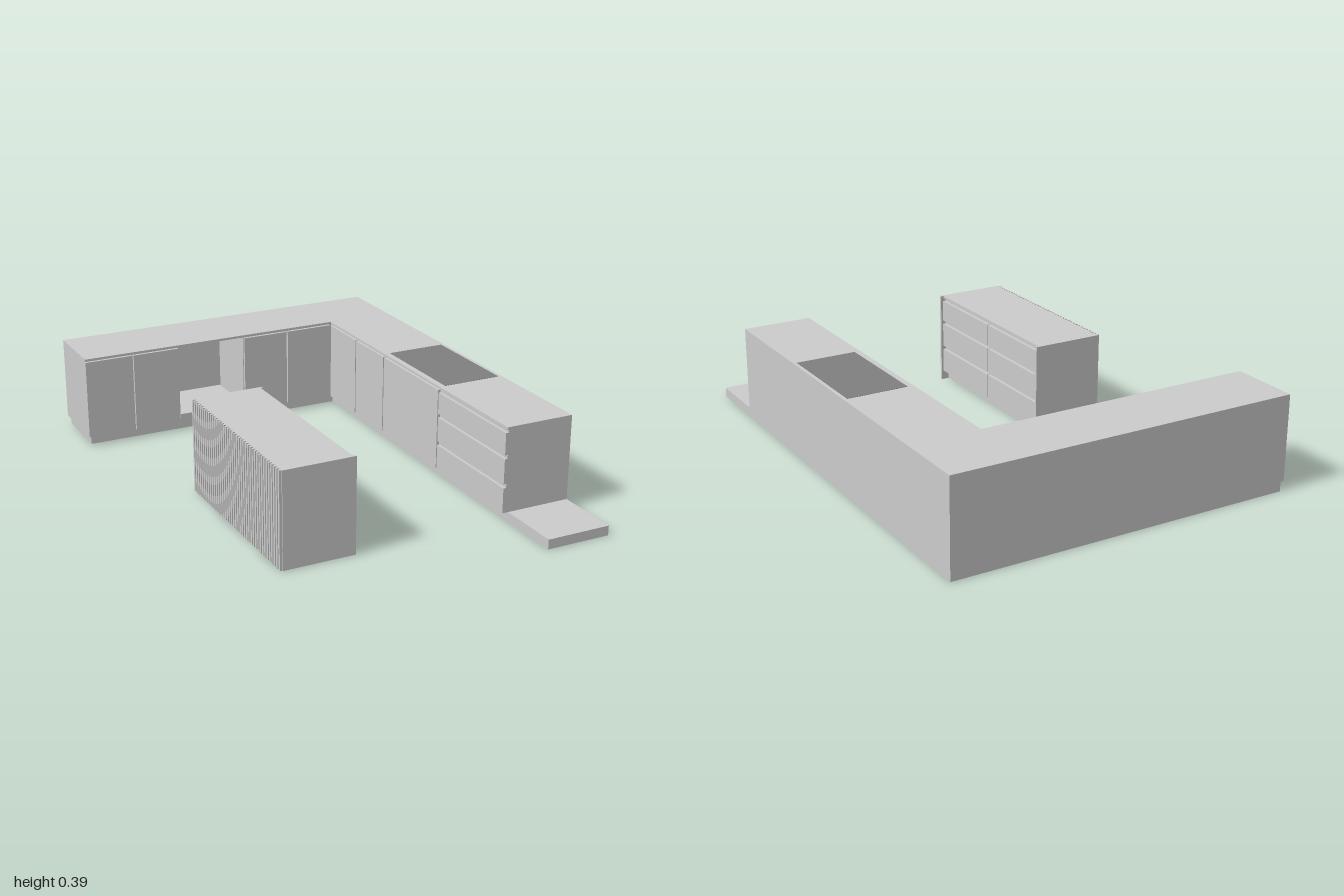
import * as THREE from 'three';

const grey = new THREE.MeshStandardMaterial({ color: 0xcccccc });
const dark = new THREE.MeshStandardMaterial({ color: 0x808080 });

// Box given by its limits on each axis
function block(parent, name, x0, x1, y0, y1, z0, z1, material = grey) {
  const mesh = new THREE.Mesh(new THREE.BoxGeometry(x1 - x0, y1 - y0, z1 - z0), material);
  mesh.position.set((x0 + x1) / 2, (y0 + y1) / 2, (z0 + z1) / 2);
  mesh.name = name;
  parent.add(mesh);
  return mesh;
}

function section(parent, name) {
  const group = new THREE.Group();
  group.name = name;
  parent.add(group);
  return group;
}

const TOP = 0.39, UNDER = 0.38, TOE = 0.04, GAP = 0.003;
const drawerRows = [[0.04, 0.143], [0.16, 0.262], [0.278, 0.368]];

export function createModel() {
  const model = new THREE.Group();
  model.name = 'kitchen';

  // L-shaped worktop
  const outline = [[-0.725, 1], [0.72, 1], [0.72, -0.73], [0.43, -0.73], [0.43, 0.71], [-0.725, 0.71]];
  const shape = new THREE.Shape(outline.map(([x, y]) => new THREE.Vector2(x, y)));
  const top = new THREE.ExtrudeGeometry(shape, { depth: TOP - UNDER, bevelEnabled: false });
  top.rotateX(-Math.PI / 2);
  const worktop = new THREE.Mesh(top, grey);
  worktop.name = 'worktop';
  worktop.position.y = UNDER;
  model.add(worktop);
  block(model, 'hob', 0.455, 0.705, TOP - 0.005, TOP + 0.001, -0.21, 0.24, dark);

  // Back run with an open appliance niche
  const back = section(model, 'backRun');
  block(back, 'plinth', -0.71, 0.72, 0, TOE, -1, -0.73);
  block(back, 'leftCarcass', -0.725, -0.305, TOE, UNDER, -1, -0.717);
  block(back, 'rightCarcass', 0, 0.72, TOE, UNDER, -1, -0.717);
  block(back, 'nicheBack', -0.305, 0, TOE, UNDER, -1, -0.98);
  block(back, 'nicheFloor', -0.305, -0.003, TOE, 0.073, -0.98, -0.71);
  for (const [a, b] of [[-0.725, -0.515], [-0.515, -0.305], [0, 0.21], [0.21, 0.425]]) {
    block(back, 'door', a + (a > -0.7 ? GAP : 0), b - GAP, TOE, 0.377, -0.717, -0.705);
  }

  // Side run: doors, then a stack of drawers; the plinth runs on as a low platform
  const side = section(model, 'sideRun');
  block(side, 'platform', 0.45, 0.72, 0, TOE, -0.73, 1);
  block(side, 'carcass', 0.436, 0.72, TOE, UNDER, -0.717, 0.73);
  for (const [a, b] of [[-0.7, -0.46], [-0.46, -0.21], [-0.21, 0.24]]) {
    block(side, 'door', 0.424, 0.436, TOE, 0.377, a + GAP, b - GAP);
  }
  for (const [y0, y1] of drawerRows) {
    block(side, 'drawer', 0.424, 0.436, y0, y1, 0.24 + GAP, 0.73);
  }

  // Island: drawers on one long side, slats on the other
  const island = section(model, 'island');
  block(island, 'plinth', -0.49, -0.235, 0, TOE, -0.07, 0.71);
  block(island, 'carcass', -0.495, -0.222, TOE, UNDER, -0.07, 0.71);
  block(island, 'top', -0.495, -0.212, UNDER, TOP, -0.07, 0.71);
  block(island, 'backPanel', -0.495, -0.485, 0, TOP, -0.07, 0.71);
  for (const z of [-0.08, 0.71]) block(island, 'endPanel', -0.495, -0.2, 0, TOP, z, z + 0.01);
  for (const [y0, y1] of drawerRows) {
    for (const [a, b] of [[-0.07, 0.32], [0.32, 0.71]]) {
      block(island, 'drawer', -0.222, -0.208, y0, y1, a + 0.002, b - 0.002);
    }
  }
  const count = 40, pitch = 0.8 / count;
  for (let i = 0; i < count; i++) {
    const z = -0.08 + (i + 0.5) * pitch;
    block(island, 'slat', -0.505, -0.495, 0, TOP, z - pitch * 0.3, z + pitch * 0.3);
  }

  return model;
}
